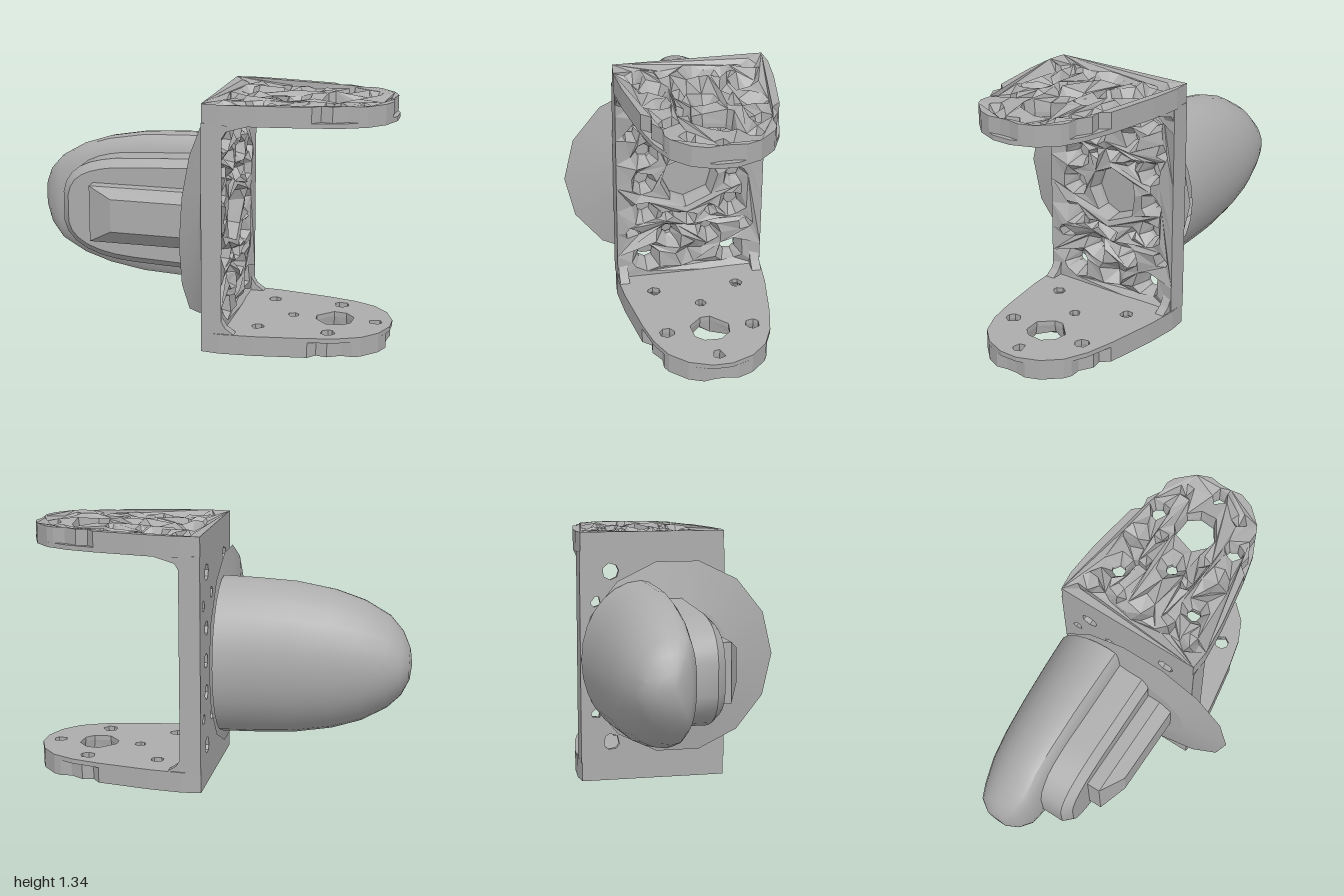
import * as THREE from 'three';
import { toCreasedNormals, mergeVertices } from 'three/addons/utils/BufferGeometryUtils.js';
import { ConvexGeometry } from 'three/addons/geometries/ConvexGeometry.js';

const MID_Y = 0.67, MID_Z = -0.125;

export function createModel() {
  const model = new THREE.Group();
  model.name = 'motorBracket';
  const grey = new THREE.MeshStandardMaterial({ color: 0xacacac, side: THREE.DoubleSide });
  grey.name = 'plain grey';

  let seed = 7;
  const rand = () => (seed = (seed * 16807) % 2147483647) / 2147483647;

  const add = (parent, name, geometry) => {
    const mesh = new THREE.Mesh(geometry, grey);
    mesh.name = name;
    parent.add(mesh);
    return mesh;
  };

  const surface = (positions, index) => {
    const g = new THREE.BufferGeometry();
    g.setAttribute('position', new THREE.Float32BufferAttribute(positions, 3));
    if (index) g.setIndex(index);
    g.computeVertexNormals();
    return g;
  };

  const toShape = (points) => new THREE.Shape(points.map(([x, y]) => new THREE.Vector2(x, y)));
  const flat = (shape, depth) => new THREE.ExtrudeGeometry(shape, { depth, bevelEnabled: false });

  // Mirrors hole records [u, v, outer radius, inner radius] in the chosen axes
  const mirrored = (holes, alsoU) => holes.flatMap(([u, v, R, r]) => {
    const us = alsoU && u ? [u, -u] : [u];
    const vs = v ? [v, -v] : [v];
    return us.flatMap((a) => vs.map((b) => [a, b, R, r]));
  });

  // Flat panel: thin back sheet, thick front layer with a crumpled face, rough funnels through both
  function panel(name, outline, frontOutline, holes, thickness) {
    const group = new THREE.Group();
    group.name = name;
    const sheet = 0.025;
    const back = toShape(outline), front = toShape(frontOutline);
    const tris = [], rimHeights = new Map();
    const key = (x, y) => Math.round(x * 1000) + ',' + Math.round(y * 1000);
    const snap = (v) => Math.round(v * 1000) / 1000;
    for (const [u, v, R, r] of holes) {
      const n = R > 0.1 ? 8 : R < 0.06 ? 5 : 7, turn = rand() * 6;
      const rim = [], throat = [];
      // Pits end in an off-centre point at a varying depth
      const floor = r > 0 ? sheet : sheet + rand() * 0.02;
      const du = r > 0 ? 0 : (rand() - 0.5) * R * 0.6;
      for (let j = 0; j < n; j++) {
        const a = turn + (j + (rand() - 0.5) * 0.6) / n * Math.PI * 2;
        const k = R > 0.1 ? 1 : 0.8 + rand() * 0.2;
        const p = new THREE.Vector2(snap(u + Math.cos(a) * R * k), snap(v + Math.sin(a) * R * k));
        rimHeights.set(key(p.x, p.y), thickness - 0.045 * rand() ** 1.5);
        rim.push(p);
        throat.push(new THREE.Vector2(u + du + Math.cos(a) * r, v + Math.sin(a) * r));
      }
      front.holes.push(new THREE.Path(rim));
      if (r > 0) back.holes.push(new THREE.Path(throat));
      for (let j = 0; j < n; j++) {
        const k = (j + 1) % n;
        const T = (i) => [rim[i].x, rim[i].y, rimHeights.get(key(rim[i].x, rim[i].y))];
        const B = (i) => [throat[i].x, throat[i].y, floor];
        tris.push(...T(j), ...T(k), ...B(j));
        if (r > 0) tris.push(...T(k), ...B(k), ...B(j));
      }
    }
    add(group, 'backSheet', flat(back, sheet));

    // Lower the hole rims on the front face so that it breaks into facets
    const layer = flat(front, thickness - sheet).translate(0, 0, sheet);
    const p = layer.attributes.position;
    for (let i = 0; i < p.count; i++) {
      const h = rimHeights.get(key(p.getX(i), p.getY(i)));
      if (h && p.getZ(i) > sheet + 0.01) p.setZ(i, h);
    }
    layer.computeVertexNormals();
    add(group, 'frontLayer', layer);
    add(group, 'roughHoles', surface(tris));
    model.add(group);
    return group;
  }

  // Upright plate, rough side facing the arms
  const plateOutline = [];
  for (const s of [1, -1]) {
    for (let i = 0; i < 8; i++) plateOutline.push([s * 0.395, s * (-0.57 + i * 0.1425)]);
    for (let i = 0; i < 4; i++) plateOutline.push([s * (0.395 - i * 0.1975), s * 0.57]);
  }
  const plate = panel('uprightPlate', plateOutline, plateOutline,
    [[0, 0, 0.155, 0.14], ...mirrored([
      [0.23, 0.46, 0.09, 0.045], [0, 0.46, 0.08, 0], [0.31, 0.3, 0.05, 0.03],
      [0.11, 0.33, 0.08, 0.03], [0.24, 0.17, 0.085, 0.04], [0, 0.225, 0.055, 0],
      [0.12, 0.2, 0.037, 0], [0.25, 0, 0.078, 0.04]], true)], 0.11);
  plate.rotation.y = Math.PI / 2;
  plate.position.set(0.04, MID_Y, MID_Z);

  // Two tapering arms, rough sides facing outward, with worn notches near the tip
  const bothSides = (side) => [...side.map(([x, v]) => [x, -v]), ...side.slice().reverse()];
  const root = [[0.04, 0.39], [0.14, 0.4], [0.32, 0.385], [0.6, 0.34]];
  const armOutline = bothSides([...root, [0.75, 0.305], [0.87, 0.25], [0.95, 0.165], [0.995, 0.05]]);
  const wornOutline = bothSides([...root, [0.64, 0.295], [0.7, 0.305], [0.77, 0.265], [0.83, 0.268],
    [0.87, 0.25], [0.95, 0.165], [0.98, 0.09], [0.97, 0.03]]);
  const armHoles = mirrored([
    [0.69, 0, 0.115, 0.105], [0.69, 0.225, 0.06, 0.04], [0.91, 0, 0.05, 0.036],
    [0.46, 0, 0.09, 0.03], [0.31, 0.225, 0.09, 0.035], [0.17, 0, 0.085, 0],
    [0.5, 0.24, 0.08, 0], [0.85, 0.16, 0.05, 0], [0.15, 0.3, 0.06, 0],
    [0.17, 0.15, 0.06, 0], [0.4, 0.12, 0.043, 0], [0.56, 0.13, 0.043, 0]], false);
  for (const s of [1, -1]) {
    const arm = panel(s > 0 ? 'upperArm' : 'lowerArm', armOutline, wornOutline, armHoles, 0.108);
    arm.rotation.x = -s * Math.PI / 2;
    arm.position.set(0, MID_Y + s * 0.562, MID_Z);

    // Corner wedges along both rims
    for (const e of [1, -1]) {
      const w = s > 0 ? 0.13 : 0.06;
      const wedge = toShape([[0.14, 0.565], [0.14, 0.48], [0.17, 0.53], [0.16 + w, 0.565]]
        .map(([x, y]) => [x, y * s]));
      add(model, 'cornerWedge', flat(wedge, 0.05)).position.set(0, MID_Y, MID_Z + e * 0.365 - 0.025);
    }
  }

  // Thin-edged mounting disc
  const disc = new THREE.LatheGeometry([[0, -0.045], [0.28, -0.045], [0.525, -0.005], [0.3, 0.033], [0, 0.035]]
    .map(([r, y]) => new THREE.Vector2(r, y)), 14);
  const discMesh = add(model, 'mountingDisc', toCreasedNormals(disc, 0.15));
  discMesh.rotation.z = -Math.PI / 2;
  discMesh.position.y = MID_Y;

  // Bullet-shaped motor housing: [x, half height, back depth, front depth]
  const rings = [[-0.02, 0.415, 0.325, 0.1], [-0.2, 0.41, 0.315, 0.1], [-0.4, 0.4, 0.3, 0.1],
    [-0.6, 0.365, 0.28, 0.1], [-0.75, 0.315, 0.255, 0.1], [-0.88, 0.24, 0.215, 0.09],
    [-0.95, 0.165, 0.165, 0.07], [-0.99, 0.08, 0.09, 0.03], [-1, 0, 0, 0]];
  const N = 28, pos = [], idx = [];
  rings.forEach(([x, h, b, f], i) => {
    const midZ = x < -0.9 ? -0.2 - (-0.9 - x) * 0.4 : -0.2;
    for (let j = 0; j < N; j++) {
      const a = j / N * Math.PI * 2, c = Math.cos(a), s = Math.sin(a);
      const z = c > 0 ? f * Math.pow(c, 0.6) : b * c;
      pos.push(x, MID_Y + h * s, midZ + z);
      if (i < rings.length - 1) {
        const p = i * N + j, q = i * N + (j + 1) % N;
        idx.push(p, q, p + N, q, q + N, p + N);
      }
    }
  });
  add(model, 'motorHousing', toCreasedNormals(mergeVertices(surface(pos, idx)), 0.6));

  // Raised round-ended step on the front of the housing, with a wide chamfer
  const step = new THREE.Shape();
  step.moveTo(-0.05, 0.41);
  step.lineTo(-0.4, 0.425);
  step.bezierCurveTo(-0.62, 0.435, -0.75, 0.5, -0.765, 0.6);
  step.lineTo(-0.765, 0.75);
  step.bezierCurveTo(-0.75, 0.86, -0.66, 0.9, -0.5, 0.92);
  step.lineTo(-0.05, 0.945);
  add(model, 'housingStep', toCreasedNormals(new THREE.ExtrudeGeometry(step, {
    depth: 0.16, bevelThickness: 0.045, bevelSize: 0.042, bevelSegments: 1, curveSegments: 6,
  }), 0.4)).position.z = -0.145;

  // Sloped block on the step
  const block = [];
  for (const y of [0.52, 0.83]) {
    for (const z of [0.03, 0.13]) block.push(new THREE.Vector3(-0.62, y, z), new THREE.Vector3(-0.02, y, z));
  }
  for (const y of [0.6, 0.78]) {
    block.push(new THREE.Vector3(-0.48, y, 0.195), new THREE.Vector3(-0.02, y, 0.2));
  }
  add(model, 'frontBlock', new ConvexGeometry(block));

  return model;
}
